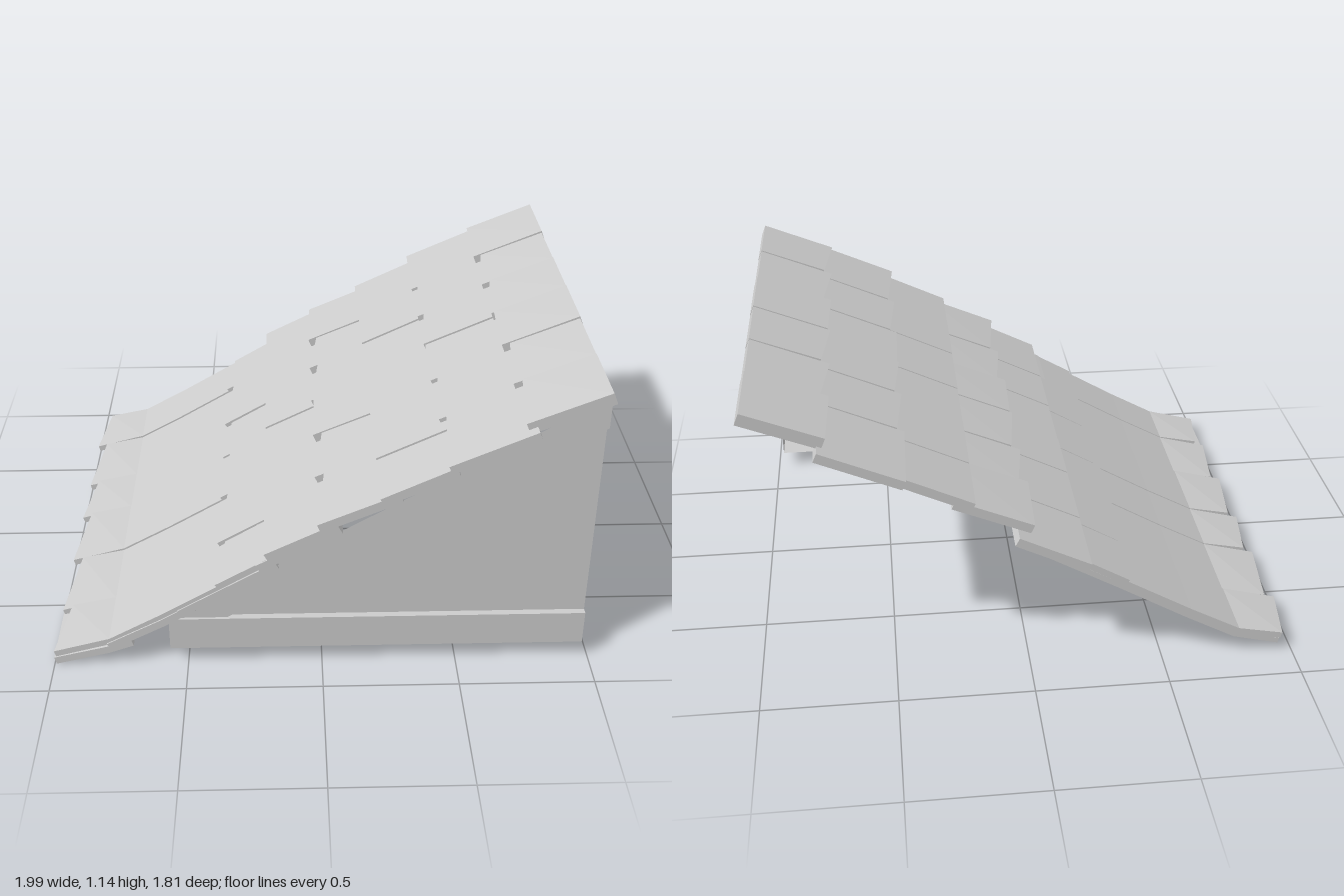
import * as THREE from 'three';

const mat = new THREE.MeshStandardMaterial({ color: 0xcccccc, flatShading: true, side: THREE.DoubleSide });

function add(parent, name, geometry) {
  const mesh = new THREE.Mesh(geometry, mat);
  mesh.name = name;
  parent.add(mesh);
  return mesh;
}

// Slab following a top profile (eave to ridge), thickened downwards.
// skew pushes the eave edge up the slope, at one side only.
function tile(top, z0, z1, thick, skew = 0) {
  const under = top.map((p, i) => {
    const a = top[Math.max(i - 1, 0)], b = top[Math.min(i + 1, top.length - 1)];
    const dx = b[0] - a[0], dy = b[1] - a[1], l = Math.hypot(dx, dy);
    return [p[0] + (dy / l) * thick, p[1] - (dx / l) * thick];
  });
  const outline = [...top, ...under.reverse()].map(([x, y]) => new THREE.Vector2(x, y));
  const g = new THREE.ExtrudeGeometry(new THREE.Shape(outline), { depth: z1 - z0, bevelEnabled: false });
  g.translate(0, 0, z0);
  const p = g.attributes.position, eave = top[0][0] + thick;
  for (let i = 0; i < p.count; i++) {
    if (p.getX(i) > eave) continue;
    const s = skew * (z1 - p.getZ(i)) / (z1 - z0);
    p.setXY(i, p.getX(i) + s, p.getY(i) + s * 0.5);
  }
  g.computeVertexNormals();
  return g;
}

const flatShape = (points, z) =>
  new THREE.ShapeGeometry(new THREE.Shape(points.map(([x, y]) => new THREE.Vector2(x, y)))).translate(0, 0, z);

export function createModel() {
  const model = new THREE.Group();
  model.name = 'roofSection';

  // Shingle courses from eave to ridge: top profile, seams along z, thickness, eave skew
  const courses = [
    { top: [[-1, 0.06], [-0.79, 0.115], [-0.6, 0.22], [-0.32, 0.385]], seams: [-0.86, -0.61, -0.29, -0.03, 0.28, 0.595, 0.845], t: 0.025, skew: 0.04 },
    { top: [[-0.39, 0.36], [-0.14, 0.505]], seams: [-0.86, -0.61, -0.29, -0.03, 0.28, 0.595, 0.845], t: 0.025, skew: 0.03 },
    { top: [[-0.21, 0.495], [0.05, 0.625]], seams: [-0.91, -0.61, -0.29, -0.03, 0.27, 0.54, 0.86], t: 0.035, skew: 0.0 },
    { top: [[-0.02, 0.63], [0.27, 0.755]], seams: [-0.86, -0.56, -0.31, -0.02, 0.26, 0.55, 0.87], t: 0.035, skew: 0.035 },
    { top: [[0.2, 0.75], [0.46, 0.873]], seams: [-0.87, -0.6, -0.29, -0.01, 0.3, 0.63, 0.885], t: 0.035, skew: 0.0 },
    { top: [[0.43, 0.88], [0.73, 1.012]], seams: [-0.91, -0.56, -0.28, -0.02, 0.27, 0.57, 0.9], t: 0.035, skew: 0.025 },
    { top: [[0.69, 1.027], [0.975, 1.142]], seams: [-0.86, -0.55, -0.28, 0, 0.28, 0.57, 0.86], t: 0.045, skew: 0.03 },
  ];
  courses.forEach(({ top, seams, t, skew }, row) => {
    const course = new THREE.Group();
    course.name = `shingleCourse${row + 1}`;
    for (let i = 0; i < seams.length - 1; i++) {
      const drop = ((i * 2 + row) % 3) * 0.004;
      const tilt = i % 3 === 0 && row > 1 ? skew * 0.3 : skew;
      add(course, 'shingle', tile(top.map(([x, y]) => [x, y - drop]), seams[i], seams[i + 1], t, tilt));
    }
    model.add(course);
  });

  // Staggered under-layer at the eave and along the slope
  const under = new THREE.Group();
  under.name = 'underShingles';
  const seams = [-0.86, -0.51, -0.31, 0.03, 0.25, 0.54];
  const eave = [[-0.95, 0.055], [-0.78, 0.098], [-0.59, 0.205], [-0.33, 0.36], [-0.08, 0.505]];
  for (let i = 0; i < seams.length - 1; i++) {
    add(under, 'underShingle', tile(eave.map(([x, y]) => [x, y - (i % 2) * 0.004]), seams[i], seams[i + 1], 0.022));
  }
  // Lowered column of short shingles above the gable
  [
    [[-1, 0.03], [-0.8, 0.078], [-0.71, 0.11]],
    [[-0.8, 0.09], [-0.6, 0.195], [-0.48, 0.265]],
    [[-0.53, 0.24], [-0.17, 0.45]],
    [[-0.24, 0.44], [0.06, 0.6]],
  ].forEach((top) => add(under, 'underShingle', tile(top, 0.54, 0.85, 0.03)));
  model.add(under);

  // Gable wall
  add(model, 'gableWall', flatShape([[-0.56, 0.2], [0.975, 0.2], [0.975, 1.1]], 0.825));

  // Rafter: front board with a thin soffit beneath
  const rafter = new THREE.Group();
  rafter.name = 'rafter';
  add(rafter, 'rafterFront', flatShape([[-0.56, 0.2], [-0.35, 0.2], [0.98, 0.99], [0.98, 1.1]], 0.84));
  const soffit = add(rafter, 'rafterSoffit',
    new THREE.PlaneGeometry(Math.hypot(1.33, 0.79), 0.13).rotateX(-Math.PI / 2));
  soffit.rotation.z = Math.atan2(0.79, 1.33);
  soffit.position.set(0.315, 0.595, 0.775);
  model.add(rafter);

  // Tie beam, open at the back
  const beam = new THREE.BoxGeometry(1.54, 0.135, 0.14).translate(0.205, 0.1335, 0.78);
  beam.setIndex(Array.from(beam.index.array).slice(0, 30));
  beam.clearGroups();
  add(model, 'tieBeam', beam);

  return model;
}
